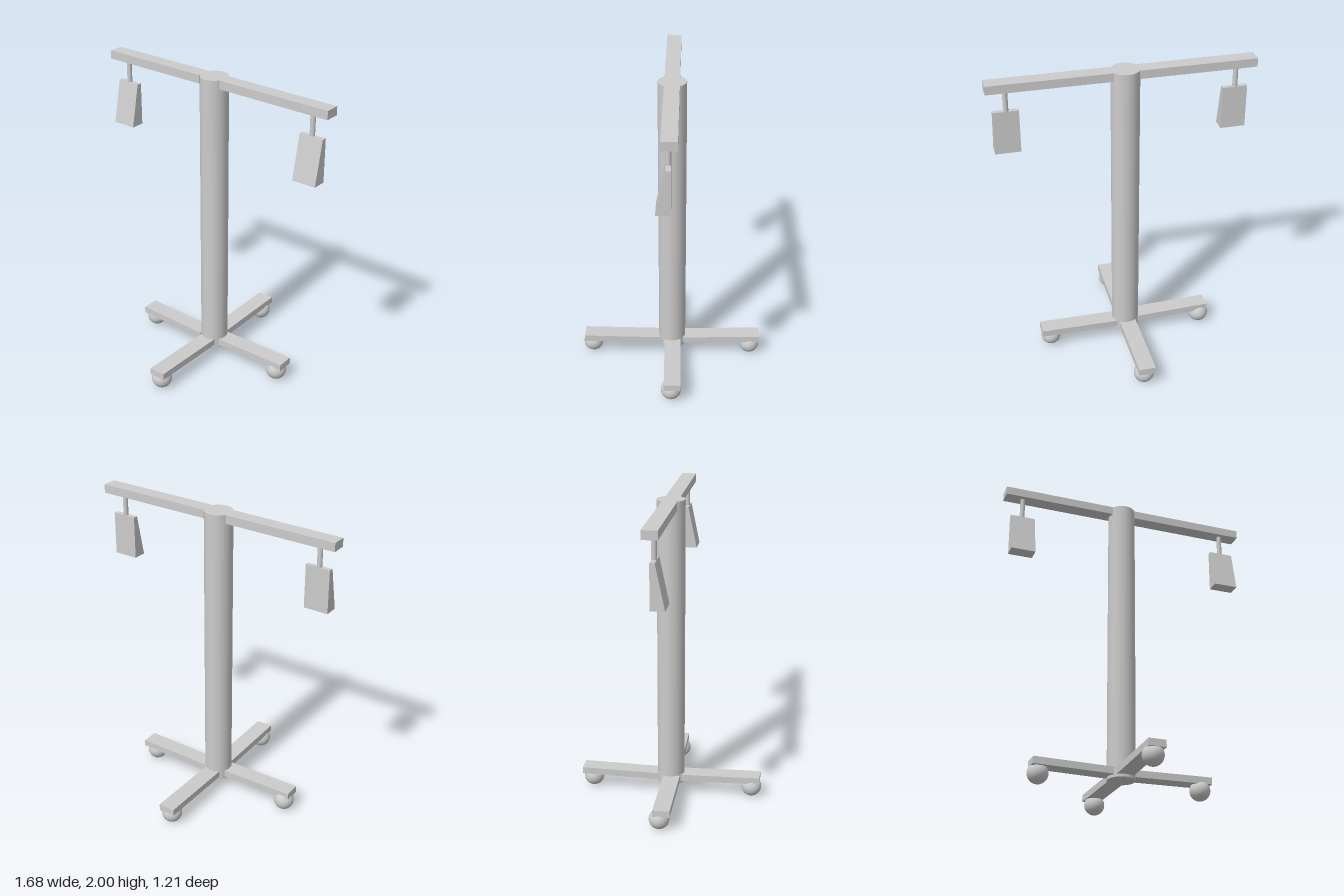
import * as THREE from 'three';

export function createModel() {
  const root = new THREE.Group();
  const mat = new THREE.MeshStandardMaterial({ color: 0xcccccc });
  const add = (name, geo, x, y, z, parent = root) => {
    const mesh = new THREE.Mesh(geo, mat);
    mesh.name = name;
    mesh.position.set(x, y, z);
    parent.add(mesh);
    return mesh;
  };

  // Upright column, reaching slightly below the legs
  const cx = -0.015, cz = -0.005;
  add('column', new THREE.CylinderGeometry(0.09, 0.09, 1.925, 48), cx, 1.0375, cz);

  // Crossbar halves butting into the column, flush with its top
  const wedge = new THREE.Shape([
    new THREE.Vector2(-0.013, 1.525), new THREE.Vector2(0.076, 1.525),
    new THREE.Vector2(0.018, 1.805), new THREE.Vector2(-0.013, 1.805),
  ]);
  for (const s of [-1, 1]) {
    const inner = cx + s * 0.08, outer = s * 0.838;
    add('crossbarHalf', new THREE.BoxGeometry(Math.abs(outer - inner), 0.055, 0.095),
      (inner + outer) / 2, 1.9725, -0.004);

    // Hanging rod with a wedge-shaped block, sloping on the front
    const hanger = new THREE.Group();
    hanger.name = 'hanger';
    hanger.position.x = s * 0.716 + 0.002;
    root.add(hanger);
    add('rod', new THREE.CylinderGeometry(0.016, 0.016, 0.16, 24), -0.003, 1.87, 0.002, hanger);
    const block = new THREE.ExtrudeGeometry(wedge, { depth: 0.16, bevelEnabled: false });
    block.translate(0, 0, -0.08).rotateY(-Math.PI / 2); // profile x becomes z
    add('hangingBlock', block, 0, 0, 0, hanger);
  }

  // Four legs rising gently outward, each over a ball foot
  const legs = [
    { turn: 0, reach: 0.59, side: -0.004, yaw: 0.012, foot: [0.51, -0.007] },
    { turn: 1, reach: 0.6, side: 0, yaw: 0.006, foot: [-0.012, -0.537] },
    { turn: 2, reach: 0.58, side: -0.012, yaw: 0.012, foot: [-0.545, -0.005] },
    { turn: 3, reach: 0.6, side: 0, yaw: 0.006, foot: [-0.018, 0.54] },
  ];
  for (const { turn, reach, side, yaw, foot } of legs) {
    const pivot = new THREE.Group();
    pivot.name = 'leg';
    pivot.position.set(cx, 0, cz);
    pivot.rotation.y = turn * Math.PI / 2 + yaw;
    root.add(pivot);
    const start = 0.07;
    const beam = add('legBeam', new THREE.BoxGeometry(reach - start, 0.045, 0.11),
      (reach + start) / 2, 0.12, side, pivot);
    beam.rotation.z = 0.018;
    add('ballFoot', new THREE.SphereGeometry(0.066, 32, 20), foot[0], 0.066, foot[1]);
  }
  return root;
}
